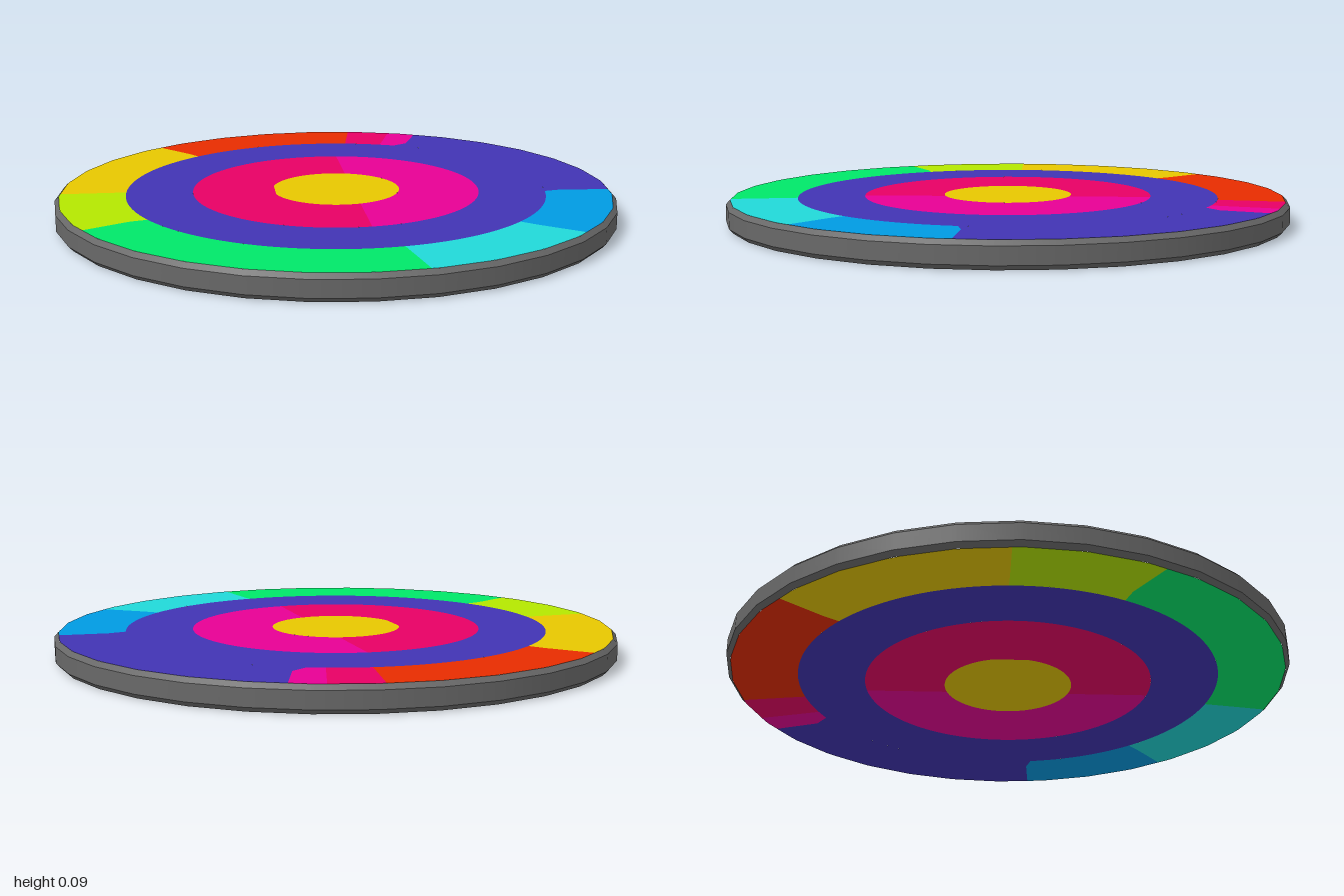
import * as THREE from 'three';

const H = 0.09, R = 0.985, MID = 0.75, INNER = 0.513, CORE = 0.228, SIDES = 32;
const BEND = 0.81; // radius at which the borders of the outer band bend
const SPLIT = 0.06; // x of the line between the two halves of the inner ring
const rad = THREE.MathUtils.degToRad;

const mat = (name, color) => new THREE.MeshStandardMaterial({ name, color });
const M = {
  grey: mat('rim grey', 0x686868),
  indigo: mat('indigo', 0x4134b3),
  crimson: mat('crimson', 0xe70064),
  magenta: mat('magenta', 0xe70094),
  red: mat('orange red', 0xe72c00),
  yellow: mat('yellow', 0xe7c700),
  lime: mat('lime', 0xb4e700),
  green: mat('green', 0x00e769),
  teal: mat('teal', 0x20d8d8),
  blue: mat('blue', 0x009ae2),
};

// Points are (x, z); angles run from +x towards +z.
const polar = (r, deg) => [r * Math.cos(rad(deg)), r * Math.sin(rad(deg))];

// Radius of the many-sided rim at a given angle
function rimRadius(deg) {
  const step = 360 / SIDES, local = (((deg % step) + step) % step) - step / 2;
  return R * Math.cos(rad(step / 2)) / Math.cos(rad(local));
}

function arc(radius, from, to) {
  const n = Math.max(2, Math.ceil(Math.abs(to - from) / 2));
  return Array.from({ length: n + 1 }, (_, i) => {
    const a = from + (to - from) * i / n;
    return polar(typeof radius === 'function' ? radius(a) : radius, a);
  });
}

// The same flat patch on the upper and the lower face
function patch(name, material, outline, hole) {
  const group = new THREE.Group();
  group.name = name;
  for (const s of [1, -1]) {
    const flat = pts => pts.map(([x, z]) => new THREE.Vector2(x, -s * z));
    const shape = new THREE.Shape(flat(outline));
    if (hole) shape.holes.push(new THREE.Path(flat(hole)));
    const geo = new THREE.ShapeGeometry(shape).rotateX(-s * Math.PI / 2);
    const mesh = new THREE.Mesh(geo, material);
    mesh.name = name + (s > 0 ? 'Top' : 'Bottom');
    mesh.position.y = s > 0 ? H : 0;
    group.add(mesh);
  }
  return group;
}

export function createModel() {
  const model = new THREE.Group();
  model.name = 'colourDisc';

  // Rim: wall with a narrow bevel above and below
  const profile = [[R, 0], [1, 0.016], [1, H - 0.016], [R, H]].map(p => new THREE.Vector2(...p));
  ['lowerBevel', 'rimWall', 'upperBevel'].forEach((name, i) => {
    const mesh = new THREE.Mesh(new THREE.LatheGeometry(profile.slice(i, i + 2), SIDES), M.grey);
    mesh.name = name;
    model.add(mesh);
  });

  // Outer band: borders given as [angle at inner edge, at the bend, at the rim]
  const borders = [
    [9.5, 7.8, 7.3], [42.5, 42.5, 41.7], [80, 80, 80], [152.8, 153.6, 153],
    [182.2, 182, 181.7], [229.7, 230, 229.7], [279.6, 279.6, 279.7],
    [290.6, 290.4, 289.8], [295.2, 297.7, 296.5],
  ];
  const colours = ['blue', 'teal', 'green', 'lime', 'yellow', 'red', 'crimson', 'magenta', 'indigo'];
  colours.forEach((c, i) => {
    const a = borders[i], next = borders[(i + 1) % borders.length];
    const b = i + 1 < borders.length ? next : next.map(v => v + 360);
    model.add(patch(c + 'Segment', M[c], [
      ...arc(rimRadius, a[2], b[2]), polar(BEND, b[1]),
      ...arc(MID, b[0], a[0]), polar(BEND, a[1]),
    ]));
  });

  // Plain ring between the outer band and the inner ring
  model.add(patch('middleRing', M.indigo, arc(MID, 0, 358), arc(INNER, 0, 358)));

  // Two-coloured inner ring around a core that is slightly cut off on one side
  const trim = pts => pts.map(([x, z]) => [Math.max(x, -0.22), z]);
  const cut = r => THREE.MathUtils.radToDeg(Math.acos(SPLIT / r));
  const o = cut(INNER), c = cut(CORE);
  model.add(patch('innerRingMagenta', M.magenta, [...arc(INNER, -o, o), ...arc(CORE, c, -c)]));
  model.add(patch('innerRingCrimson', M.crimson, [...arc(INNER, o, 360 - o), ...trim(arc(CORE, 360 - c, c))]));
  model.add(patch('core', M.yellow, trim(arc(CORE, 0, 358))));

  return model;
}
